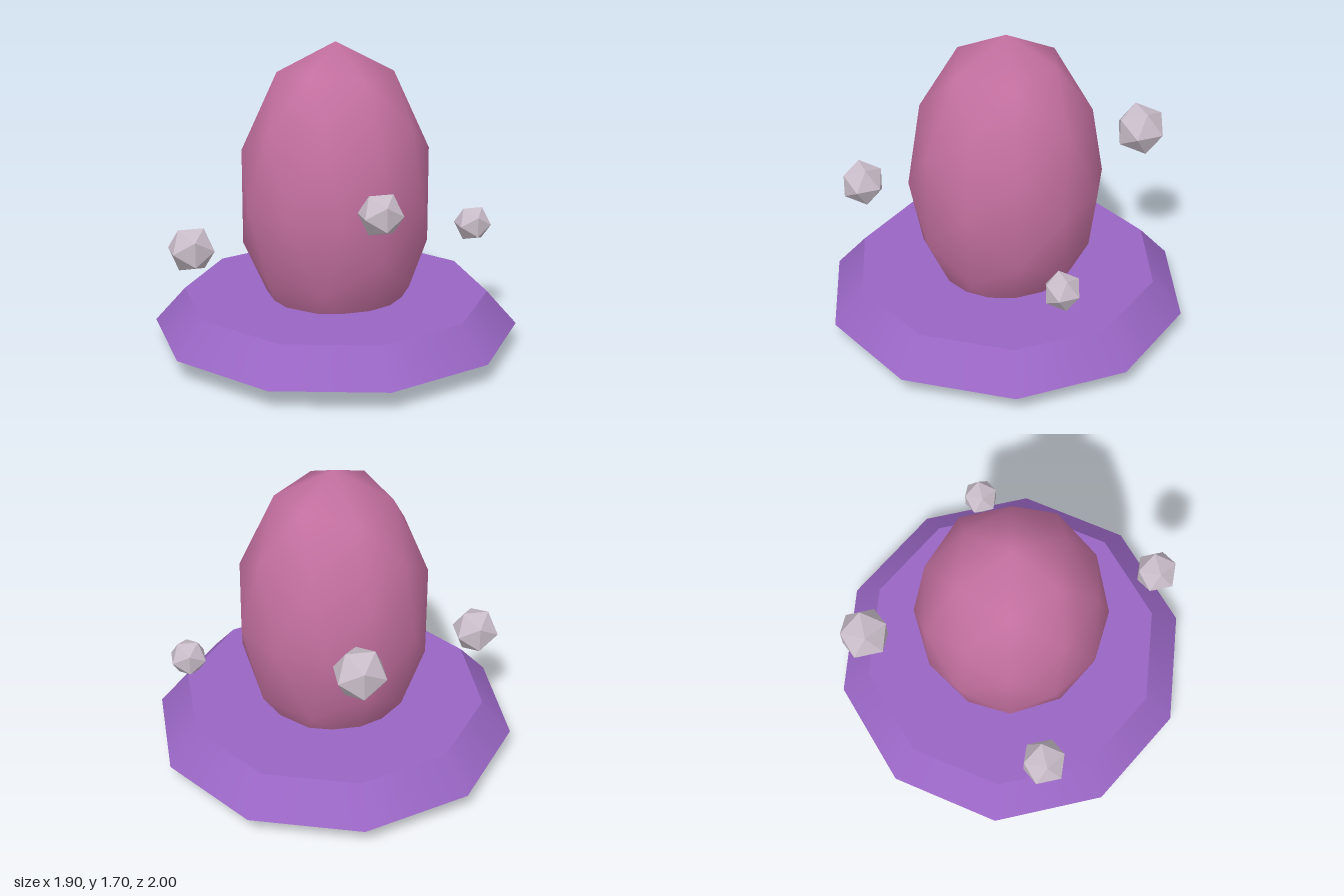
import * as THREE from 'three';

const paint = (color, flatShading = false) => new THREE.MeshStandardMaterial({ color, flatShading });

export function createModel() {
  const model = new THREE.Group();
  model.name = 'eggShrine';

  const add = (name, geometry, material, x, y, z) => {
    const mesh = new THREE.Mesh(geometry, material);
    mesh.name = name;
    mesh.position.set(x, y, z);
    model.add(mesh);
    return mesh;
  };

  // Ten-sided tapered base with smooth-shaded sides
  add('base', new THREE.CylinderGeometry(0.835, 1, 0.187, 10), paint(0x9966c4), 0, 0.219, 0);

  // Tall egg, its tip poking out under the base
  const egg = add('egg', new THREE.IcosahedronGeometry(0.53, 1), paint(0xc470a0), 0, 0.858, 0);
  egg.scale.y = 1.6;
  egg.rotation.y = Math.PI / 4;

  // Faceted stones floating around the egg, growing in size
  const stoneMaterial = paint(0xc8bcc8, true);
  const stones = [
    ['leftStone', 0.105, 0.8, 0.625, 0],
    ['frontStone', 0.119, 0, 0.993, 0.8],
    ['rightStone', 0.132, -0.8, 0.625, 0],
    ['backStone', 0.145, 0, 0.993, -0.8],
  ];
  for (const [name, radius, x, y, z] of stones) {
    add(name, new THREE.IcosahedronGeometry(radius, 0), stoneMaterial, x, y, z);
  }

  return model;
}
